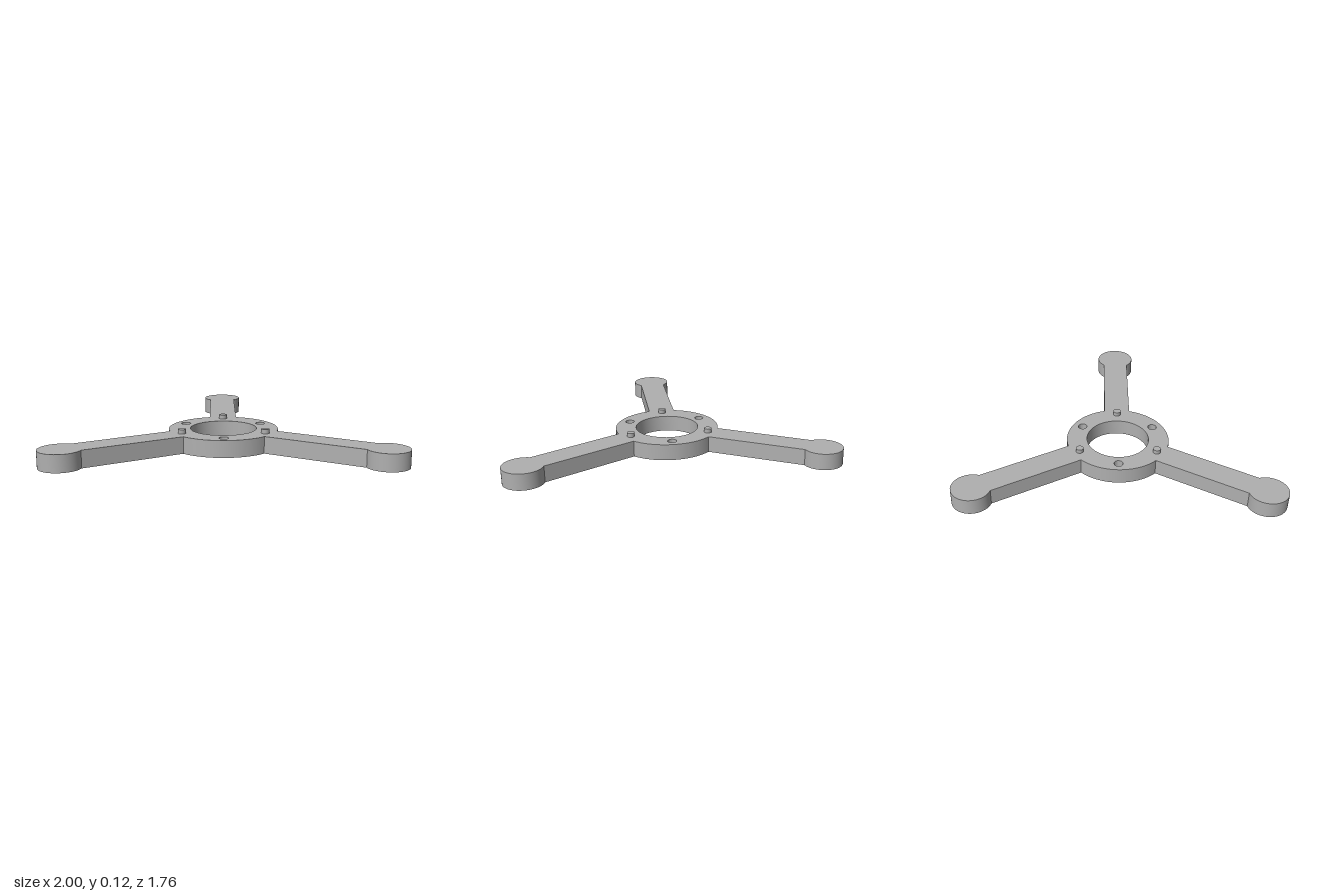
import * as THREE from 'three';
import { toCreasedNormals } from 'three/addons/utils/BufferGeometryUtils.js';

const HEIGHT = 0.1, HUB_R = 0.325, BORE_R = 0.197;
const ARM_LENGTH = 1.013, ARM_HALF = 0.083, PAD_R = 0.122;
const POCKET = 0.14, LID = 0.02;
const HUB_Z = 0.253;

export function createModel() {
  const group = new THREE.Group();
  group.name = 'threeArmBracket';
  const grey = new THREE.MeshStandardMaterial({ color: 0xb0b0b0 });
  grey.name = 'grey';

  const add = (name, geometry, x = 0, y = 0, z = 0, turn = 0) => {
    const mesh = new THREE.Mesh(geometry, grey);
    mesh.name = name;
    mesh.position.set(x, y, z + HUB_Z);
    mesh.rotation.y = turn;
    group.add(mesh);
  };
  const polar = (r, a) => [r * Math.cos(a), r * Math.sin(a)];
  const armAngles = [0, 1, 2].map(i => Math.PI / 2 + i * 2 * Math.PI / 3);

  // Outline: around each end pad, back along the arm, then along the hub
  const outline = new THREE.Shape();
  const hubGap = Math.asin(ARM_HALF / HUB_R);
  const padGap = Math.asin(ARM_HALF / PAD_R);
  for (const a of armAngles) {
    const [x, y] = polar(ARM_LENGTH, a);
    outline.absarc(x, y, PAD_R, a - Math.PI + padGap, a + Math.PI - padGap, false);
    outline.absarc(0, 0, HUB_R, a + hubGap, a + 2 * Math.PI / 3 - hubGap, false);
  }

  // Central bore, screw holes opposite the arms, square pockets in the pads
  const roundHole = (x, y, r) => outline.holes.push(new THREE.Path().absarc(x, y, r, 0, Math.PI * 2, true));
  roundHole(0, 0, BORE_R);
  for (const a of armAngles) {
    roundHole(...polar(0.262, a + Math.PI), 0.028);
    const [x, y] = polar(ARM_LENGTH, a);
    const corners = [0, 1, 2, 3].map(i => {
      const [cx, cy] = polar(POCKET / Math.SQRT2, a + Math.PI / 4 - i * Math.PI / 2);
      return new THREE.Vector2(x + cx, y + cy);
    });
    outline.holes.push(new THREE.Path(corners));
  }
  const body = new THREE.ExtrudeGeometry(outline, { depth: HEIGHT, bevelEnabled: false, curveSegments: 24 });
  body.rotateX(-Math.PI / 2);
  add('body', toCreasedNormals(body, Math.PI / 6));

  // Lids closing the pockets on top, and locating pins on the hub
  const lid = new THREE.BoxGeometry(POCKET, LID, POCKET);
  const pin = new THREE.CylinderGeometry(0.024, 0.024, 0.032, 32);
  for (const a of armAngles) {
    const [lx, ly] = polar(ARM_LENGTH, a);
    add('pocketLid', lid, lx, HEIGHT - LID / 2, -ly, a);
    const [px, py] = polar(0.279, a);
    add('locatingPin', pin, px, HEIGHT + 0.009, -py);
  }
  return group;
}
